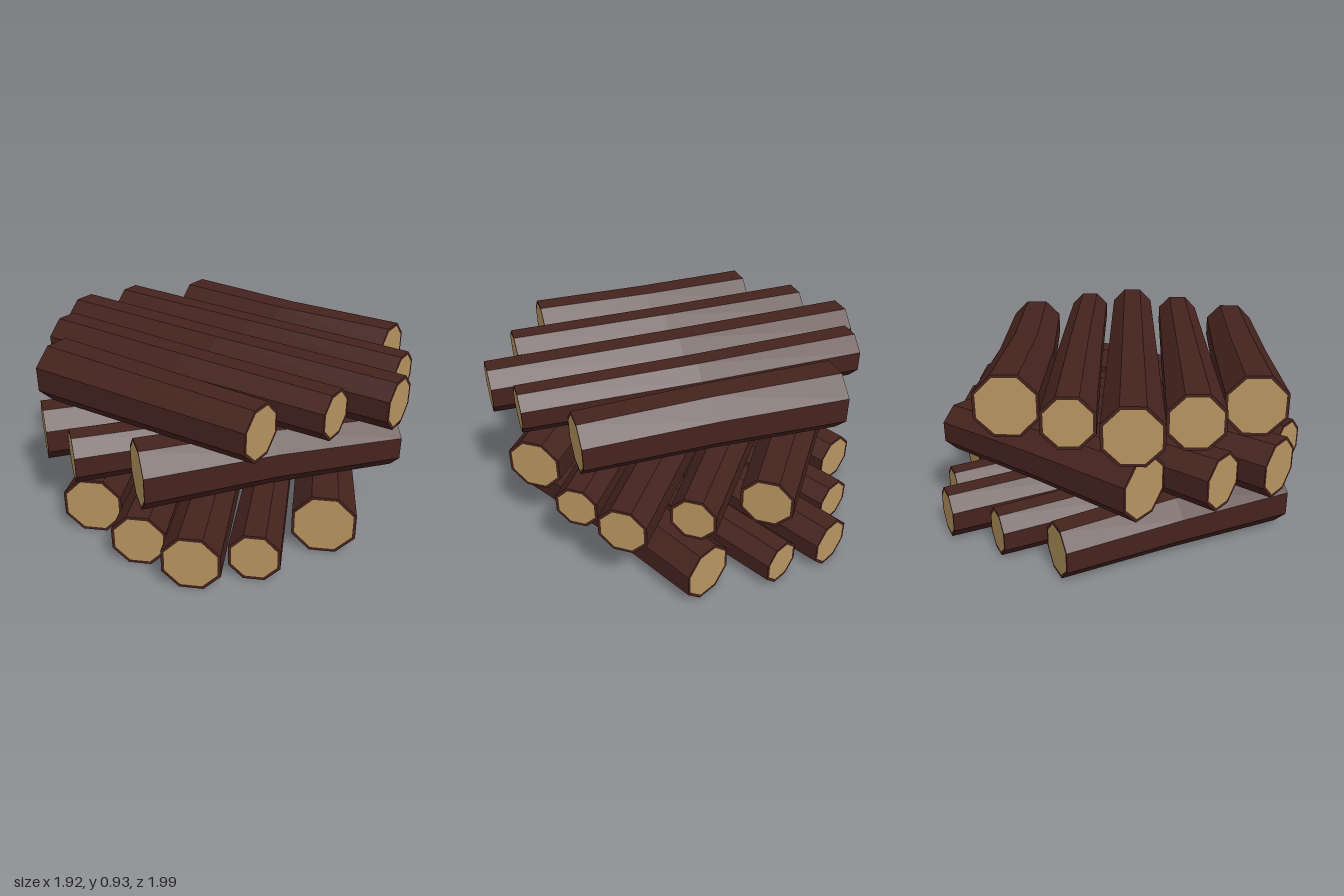
import * as THREE from 'three';

const SIDES = 8;
const HALF = Math.PI / SIDES;
const RIM = 0.015; // bark thickness seen on the cut ends

const bark = new THREE.MeshStandardMaterial({ color: 0x45231e, flatShading: true });
const cutWood = new THREE.MeshStandardMaterial({ color: 0xb89660, flatShading: true });

// Each log: front and back ends as [x, z, half height], plus a slight sideways bend
const LOGS = [
  { front: [-0.59, 0.61, 0.151], back: [-0.6, -0.62, 0.129], bend: 0.005 },
  { front: [-0.29, 0.84, 0.135], back: [-0.297, -0.82, 0.113], bend: 0 },
  { front: [-0.008, 0.98, 0.141], back: [-0.015, -1.0, 0.12], bend: 0 },
  { front: [0.275, 0.875, 0.125], back: [0.258, -0.9, 0.107], bend: 0.005 },
  { front: [0.588, 0.61, 0.158], back: [0.578, -0.7, 0.137], bend: -0.02 },
];

function addMesh(parent, name, geometry, material) {
  const mesh = new THREE.Mesh(geometry, material);
  mesh.name = name;
  parent.add(mesh);
  return mesh;
}

// Tapered eight-sided log along z, resting on y = 0
function makeLog({ front, back, bend }) {
  const log = new THREE.Group();
  log.name = 'log';
  const [fx, fz, fh] = front;
  const [bx, bz, bh] = back;
  const corner = (h) => h / Math.cos(HALF);

  // Bark: open cylinder whose rings are shifted onto the log's axis
  const shell = new THREE.CylinderGeometry(corner(fh), corner(bh), 1, SIDES, 2, true, HALF);
  shell.rotateX(Math.PI / 2);
  const p = shell.attributes.position;
  for (let i = 0; i < p.count; i++) {
    const t = p.getZ(i) + 0.5;
    const sway = Math.sin(Math.PI * t);
    p.setXYZ(
      i,
      p.getX(i) + THREE.MathUtils.lerp(bx, fx, t) + bend * sway,
      p.getY(i) + THREE.MathUtils.lerp(bh, fh, t) + 0.006 + 0.004 * sway,
      THREE.MathUtils.lerp(bz, fz, t)
    );
  }
  shell.computeVertexNormals();
  addMesh(log, 'bark', shell, bark);

  // Cut ends: pale wood inside a thin ring of bark
  for (const [x, z, h, turn] of [[fx, fz, fh, 0], [bx, bz, bh, Math.PI]]) {
    const end = new THREE.Group();
    end.name = 'cutEnd';
    end.position.set(x, h + 0.006, z);
    end.rotation.y = turn;
    const inner = corner(h - RIM);
    addMesh(end, 'barkRim', new THREE.RingGeometry(inner, corner(h), SIDES, 1, HALF), bark);
    addMesh(end, 'woodFace', new THREE.CircleGeometry(inner, SIDES, HALF), cutWood);
    log.add(end);
  }
  return log;
}

function makeLayer(name) {
  const layer = new THREE.Group();
  layer.name = name;
  LOGS.forEach((spec) => layer.add(makeLog(spec)));
  return layer;
}

export function createModel() {
  const model = new THREE.Group();
  model.name = 'logPile';
  const deg = THREE.MathUtils.degToRad;

  const bottom = makeLayer('bottomLayer');

  const middle = makeLayer('middleLayer');
  middle.position.y = 0.33;
  middle.rotation.y = deg(-64);

  // Top layer is the same bundle rolled over
  const top = makeLayer('topLayer');
  top.position.set(0, 0.94, 0.06);
  top.rotation.set(0, deg(-116), Math.PI);

  model.add(bottom, middle, top);
  return model;
}
